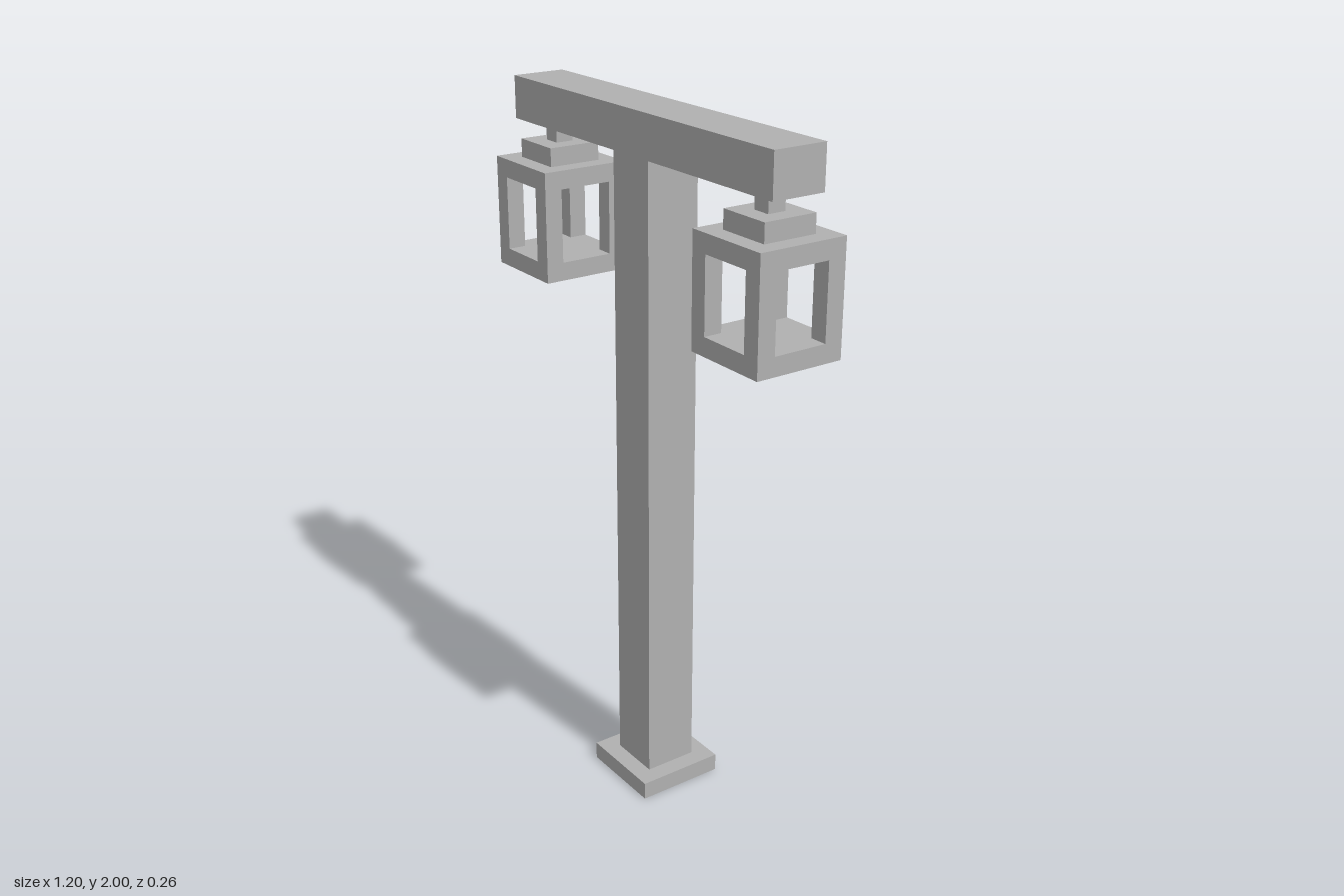
import * as THREE from 'three';

const grey = new THREE.MeshStandardMaterial({ color: 0xb0b0b0 });
grey.name = 'grey';

// Box spanning y0..y1, centred on x and z
function block(parent, name, width, depth, y0, y1, x = 0, z = 0) {
  const mesh = new THREE.Mesh(new THREE.BoxGeometry(width, y1 - y0, depth), grey);
  mesh.name = name;
  mesh.position.set(x, (y0 + y1) / 2, z);
  parent.add(mesh);
}

// Open cage with corner posts, a stepped cap and a short hanger
function createLantern(name, x) {
  const lantern = new THREE.Group();
  lantern.name = name;
  lantern.position.x = x;
  block(lantern, 'hanger', 0.052, 0.052, 1.828, 1.881);
  block(lantern, 'cap', 0.156, 0.156, 1.776, 1.828);
  block(lantern, 'lanternTop', 0.26, 0.26, 1.724, 1.776);
  block(lantern, 'lanternBottom', 0.26, 0.26, 1.464, 1.516);
  for (const sx of [-1, 1]) {
    for (const sz of [-1, 1]) {
      block(lantern, 'cornerPost', 0.052, 0.052, 1.516, 1.724, sx * 0.104, sz * 0.104);
    }
  }
  return lantern;
}

export function createModel() {
  const model = new THREE.Group();
  model.name = 'lampPost';

  // Post and crossbeam
  block(model, 'base', 0.26, 0.26, 0, 0.052);
  block(model, 'post', 0.156, 0.156, 0.052, 1.881);
  block(model, 'crossbeam', 1.144, 0.156, 1.881, 2);

  // Lanterns under both ends of the beam
  model.add(createLantern('leftLantern', 0.468), createLantern('rightLantern', -0.468));
  return model;
}
